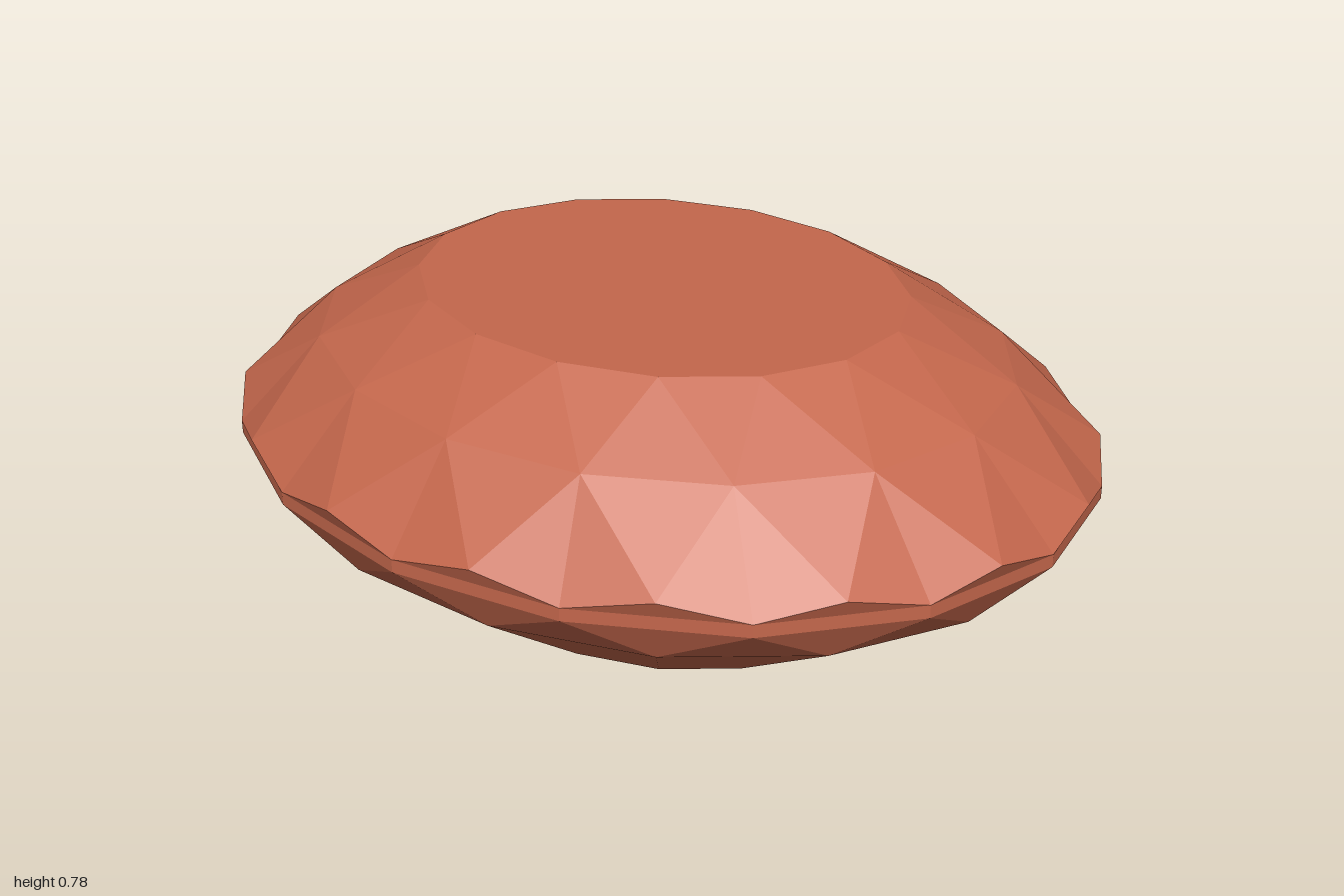
import * as THREE from 'three';

const SIDES = 16;
const DEPTH = 0.815; // oval proportion, z to x

// Ring of points; half = 0.5 turns the ring by half a facet.
function ring(radius, y, half = 0) {
  return (i) => {
    const a = ((i + half) / SIDES) * Math.PI * 2;
    return new THREE.Vector3(Math.sin(a) * radius, y, Math.cos(a) * radius * DEPTH);
  };
}

// Builds one flat-shaded part from the facets of a single sector, repeated all round.
function facets(name, material, sector) {
  const points = [];
  for (let i = 0; i < SIDES; i++) for (const tri of sector(i)) points.push(...tri);
  const geometry = new THREE.BufferGeometry().setFromPoints(points);
  geometry.computeVertexNormals();
  const mesh = new THREE.Mesh(geometry, material);
  mesh.name = name;
  return mesh;
}

export function createModel() {
  const gem = new THREE.Group();
  gem.name = 'ovalGemstone';
  const material = new THREE.MeshStandardMaterial({ color: 0xc4674c, flatShading: true });

  // Rings from top to bottom
  const table = ring(0.56, 0.78);
  const crown = ring(0.8, 0.65, 0.5);
  const peak = ring(1, 0.48);
  const valley = ring(1, 0.44, 0.5);
  const girdle = ring(1, 0.41, 0.5);
  const pavilion = ring(0.926, 0.315);
  const culet = ring(0.49, 0.037);
  const top = new THREE.Vector3(0, 0.78, 0);
  const tip = new THREE.Vector3(0, 0, 0);

  gem.add(
    facets('table', material, (i) => [[table(i), table(i + 1), top]]),

    // Star and kite facets between the table and the crown ring
    facets('upperCrown', material, (i) => [
      [crown(i), table(i + 1), table(i)],
      [crown(i - 1), crown(i), table(i)],
    ]),

    // Facets from the crown ring down to the scalloped girdle edge
    facets('lowerCrown', material, (i) => [
      [peak(i), crown(i), crown(i - 1)],
      [peak(i), valley(i), crown(i)],
      [valley(i), peak(i + 1), crown(i)],
    ]),

    // Overhanging scallops above a narrow upright band
    facets('girdle', material, (i) => [
      [valley(i - 1), valley(i), peak(i)],
      [girdle(i - 1), girdle(i), valley(i)],
      [girdle(i - 1), valley(i), valley(i - 1)],
    ]),

    facets('upperPavilion', material, (i) => [
      [pavilion(i), girdle(i), girdle(i - 1)],
      [pavilion(i), pavilion(i + 1), girdle(i)],
    ]),

    facets('lowerPavilion', material, (i) => [
      [culet(i), culet(i + 1), pavilion(i + 1)],
      [culet(i), pavilion(i + 1), pavilion(i)],
    ]),

    // Shallow pointed base
    facets('culet', material, (i) => [[tip, culet(i + 1), culet(i)]]),
  );
  return gem;
}
